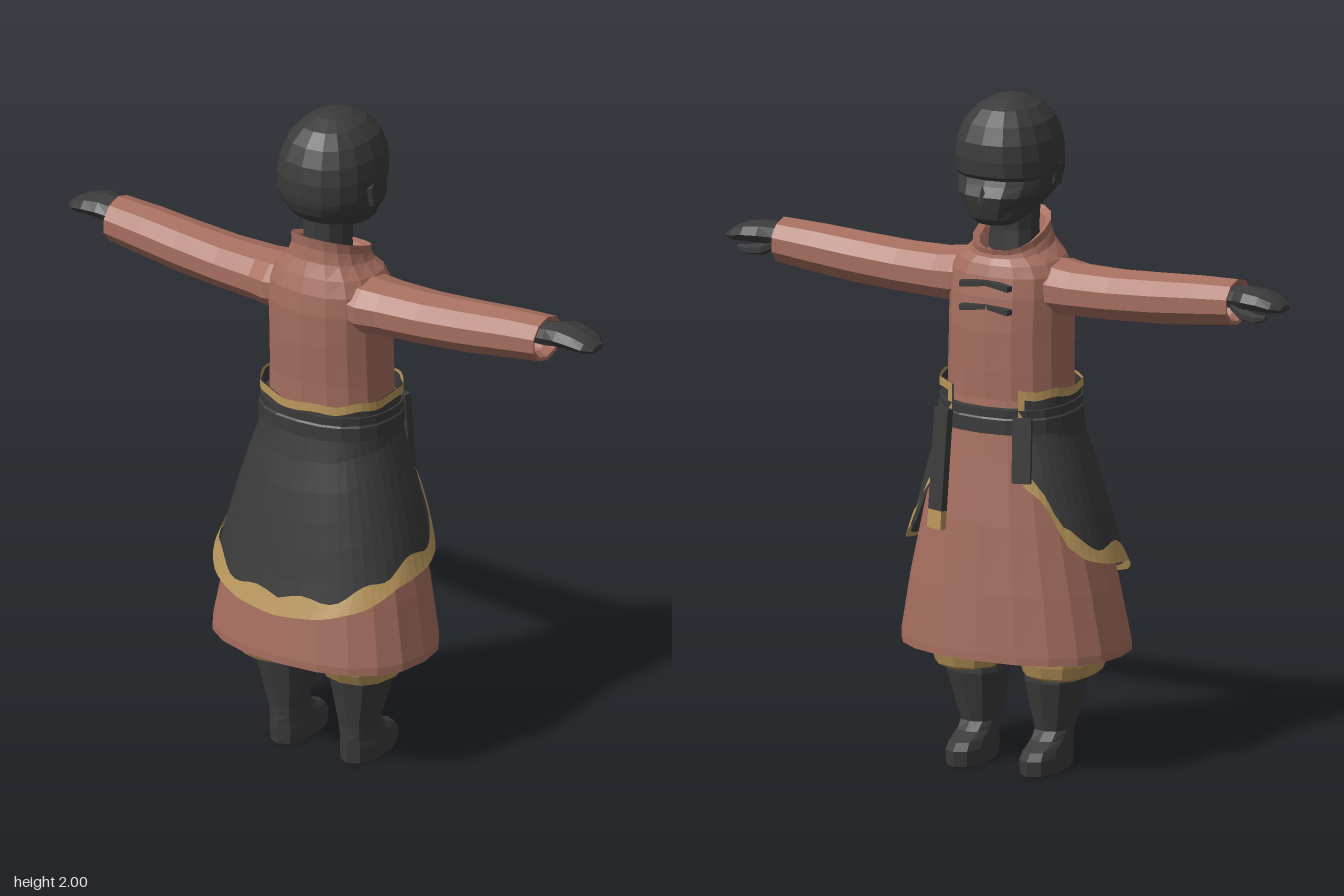
import * as THREE from 'three';

const paint = (name, color) => {
  const m = new THREE.MeshStandardMaterial({ color, flatShading: true, side: THREE.DoubleSide });
  m.name = name;
  return m;
};

// Surface through rows of points; closed rows wrap round, caps fill the ends
function loft(rows, { closed = true, capStart = false, capEnd = false } = {}) {
  const n = rows[0].length, pos = rows.flat(2), idx = [];
  const cols = closed ? n : n - 1;
  for (let r = 0; r < rows.length - 1; r++)
    for (let i = 0; i < cols; i++) {
      const a = r * n + i, b = r * n + (i + 1) % n;
      idx.push(a, b, b + n, a, b + n, a + n);
    }
  const cap = (r, flip) => {
    const c = pos.length / 3;
    for (let k = 0; k < 3; k++) pos.push(rows[r].reduce((s, p) => s + p[k], 0) / n);
    for (let i = 0; i < n; i++) {
      const a = r * n + i, b = r * n + (i + 1) % n;
      flip ? idx.push(c, b, a) : idx.push(c, a, b);
    }
  };
  if (capStart) cap(0, true);
  if (capEnd) cap(rows.length - 1, false);
  const g = new THREE.BufferGeometry();
  g.setAttribute('position', new THREE.Float32BufferAttribute(pos, 3));
  g.setIndex(idx);
  g.computeVertexNormals();
  return g;
}

const soft = (v, p) => Math.sign(v) * Math.abs(v) ** p;
// Point on a horizontal section: angle 0 is +z, a quarter turn is +x
function point(a, y, w, zb, zf, cx = 0, tilt = 0, p = 0.85) {
  const c = soft(Math.cos(a), p);
  return [cx + w * soft(Math.sin(a), p), y + tilt * c, (zb + zf) / 2 + c * (zb - zf) / 2];
}
// Section [y, halfWidth, zBack, zFront, centreX, tilt]
const ring = (s, n) => Array.from({ length: n }, (_, i) => point(i / n * Math.PI * 2, ...s));
// Section across the arm [x, yCentre, yRadius, zCentre, zRadius]
const armRing = ([x, cy, ry, cz, rz], n) => Array.from({ length: n }, (_, i) => {
  const t = i / n * Math.PI * 2;
  return [x, cy + ry * Math.cos(t), cz + rz * Math.sin(t)];
});
const sided = (rows, s) => s > 0 ? rows : rows.map(r => r.map(([x, y, z]) => [-x, y, z])).reverse();

// Piecewise linear lookup in rows whose first entry ascends
function lerpRows(rows, v) {
  let i = 0;
  while (i < rows.length - 2 && v > rows[i + 1][0]) i++;
  const t = THREE.MathUtils.clamp((v - rows[i][0]) / (rows[i + 1][0] - rows[i][0]), 0, 1);
  return rows[i].map((a, k) => a + (rows[i + 1][k] - a) * t);
}

export function createModel() {
  const root = new THREE.Group();
  const coat = paint('russet cloth', 0xa66e5f);
  const dark = paint('charcoal', 0x3b3b3b);
  const tan = paint('tan cloth', 0xb8955a);
  const add = (name, geo, mat) => {
    const m = new THREE.Mesh(geo, mat);
    m.name = name;
    root.add(m);
    return m;
  };
  const stack = (name, rows, n, mat, caps = {}) => add(name, loft(rows.map(s => ring(s, n)), caps), mat);

  // Head, with a brow ledge over the face
  stack('head', [
    [1.635, 0.055, -0.06, -0.175], [1.655, 0.085, -0.01, -0.195], [1.69, 0.108, 0.075, -0.207],
    [1.725, 0.132, 0.11, -0.216], [1.755, 0.142, 0.123, -0.2], [1.772, 0.145, 0.127, -0.193],
    [1.785, 0.147, 0.129, -0.207], [1.83, 0.148, 0.131, -0.212], [1.88, 0.14, 0.122, -0.21],
    [1.93, 0.12, 0.1, -0.19], [1.97, 0.085, 0.062, -0.15], [1.992, 0.045, 0.01, -0.1], [2, 0.01, -0.025, -0.05],
  ], 16, dark, { capStart: true, capEnd: true });
  stack('neck', [[1.54, 0.075, 0.06, -0.09], [1.6, 0.07, 0.055, -0.085], [1.7, 0.075, 0.06, -0.09]], 10, dark);
  add('nose', new THREE.ConeGeometry(0.018, 0.05, 4).translate(0, 1.735, -0.208), dark);

  // Coat body with a standing collar that dips at the throat
  stack('coatBody', [
    [1.1, 0.185, 0.12, -0.19], [1.2, 0.182, 0.122, -0.192], [1.32, 0.18, 0.13, -0.192],
    [1.42, 0.182, 0.132, -0.185], [1.48, 0.178, 0.126, -0.175], [1.52, 0.155, 0.11, -0.165, 0, 0.008],
    [1.55, 0.12, 0.092, -0.15, 0, 0.02], [1.575, 0.108, 0.086, -0.148, 0, 0.035],
    [1.6, 0.106, 0.09, -0.152, 0, 0.045], [1.59, 0.088, 0.072, -0.13, 0, 0.04], [1.545, 0.07, 0.055, -0.1, 0, 0.02],
  ], 16, coat);
  // Coat skirt, open below
  stack('coatSkirt', [
    [0.36, 0.325, 0.225, -0.235], [0.352, 0.345, 0.245, -0.25], [0.375, 0.345, 0.245, -0.25],
    [0.55, 0.312, 0.22, -0.242],
    [0.75, 0.265, 0.185, -0.228], [0.95, 0.215, 0.148, -0.208], [1.12, 0.186, 0.122, -0.192],
  ], 20, coat);
  // Chest clasps, each a slightly arched pair
  for (const y of [1.46, 1.39])
    for (const s of [1, -1]) {
      const bar = add('chestClasp', new THREE.BoxGeometry(0.085, 0.016, 0.022), dark);
      bar.position.set(s * 0.04, y, -0.184);
      bar.rotation.set(0, s * 0.22, -s * 0.08);
    }

  for (const s of [1, -1]) {
    // Sleeve with a turned-in cuff
    const sleeve = [
      [0.08, 1.45, 0.07, -0.01, 0.1], [0.16, 1.437, 0.084, -0.015, 0.11], [0.22, 1.435, 0.079, -0.022, 0.1],
      [0.35, 1.437, 0.077, -0.025, 0.092], [0.5, 1.446, 0.077, -0.03, 0.086], [0.63, 1.458, 0.074, -0.035, 0.082],
      [0.75, 1.468, 0.068, -0.038, 0.077], [0.748, 1.468, 0.058, -0.038, 0.066], [0.72, 1.468, 0.045, -0.038, 0.05],
    ];
    add('sleeve', loft(sided(sleeve.map(r => armRing(r, 10)), s)), coat);
    // Mitten-like hand and thumb
    const hand = [
      [0.71, 1.48, 0.032, -0.04, 0.042], [0.76, 1.485, 0.036, -0.045, 0.05], [0.8, 1.49, 0.034, -0.054, 0.064],
      [0.85, 1.487, 0.03, -0.055, 0.064], [0.89, 1.478, 0.022, -0.055, 0.054], [0.915, 1.472, 0.01, -0.055, 0.03],
    ];
    const thumb = [
      [0.75, 1.465, 0.015, -0.07, 0.018], [0.79, 1.446, 0.018, -0.085, 0.022],
      [0.84, 1.44, 0.014, -0.09, 0.02], [0.87, 1.445, 0.007, -0.09, 0.01],
    ];
    const caps = { capStart: true, capEnd: true };
    add('hand', loft(sided(hand.map(r => armRing(r, 8)), s), caps), dark);
    add('thumb', loft(sided(thumb.map(r => armRing(r, 6)), s), caps), dark);

    // Ear
    const ear = add('ear', new THREE.BoxGeometry(0.014, 0.06, 0.03), dark);
    ear.position.set(s * 0.145, 1.775, -0.025);
    ear.rotation.set(0.2, s * 0.3, 0);

    // Baggy trouser leg and boot
    const c = s * 0.145, b = s * 0.122;
    stack('trouserLeg', [
      [0.275, 0.085, 0.1, -0.1, c], [0.285, 0.105, 0.135, -0.115, c], [0.32, 0.118, 0.155, -0.127, c],
      [0.36, 0.126, 0.165, -0.132, c], [0.45, 0.125, 0.15, -0.13, c], [0.6, 0.11, 0.12, -0.12, c],
    ], 12, tan, caps);
    stack('boot', [
      [0, 0.053, 0.07, -0.16, b], [0.045, 0.056, 0.072, -0.163, b], [0.068, 0.053, 0.072, -0.145, b],
      [0.09, 0.053, 0.07, -0.09, b], [0.115, 0.055, 0.07, -0.062, b], [0.19, 0.074, 0.083, -0.08, s * 0.125],
      [0.265, 0.09, 0.1, -0.1, s * 0.129], [0.3, 0.088, 0.098, -0.098, s * 0.13],
    ], 10, dark, caps);
  }

  // Overskirt wraps the back and sides and parts at the front
  const shape = [
    [0.5, 0.348, 0.25, -0.25], [0.6, 0.326, 0.23, -0.244], [0.75, 0.29, 0.205, -0.238],
    [0.9, 0.247, 0.175, -0.222], [1.03, 0.203, 0.142, -0.205], [1.16, 0.2, 0.135, -0.204],
  ];
  const hem = [[0, 0.51], [20, 0.525], [45, 0.56], [70, 0.615], [95, 0.635], [115, 0.66], [128, 0.71], [138, 0.83], [152, 0.88]];
  const edge = 152, deg = Math.PI / 180;
  const hemAt = a => lerpRows(hem, Math.abs(a))[1];
  const scallop = a => 0.014 * Math.sin(Math.abs(a) * 0.17);
  // Patch of the overskirt between two angles and two height rules
  function panel(a0, a1, cols, rows, bottom, top, out, flare = 0) {
    return loft(Array.from({ length: rows + 1 }, (_, r) => Array.from({ length: cols + 1 }, (_, i) => {
      const a = a0 + (a1 - a0) * i / cols, k = r / rows;
      const y = bottom(a) + (top(a) - bottom(a)) * k;
      const [, w, zb, zf] = lerpRows(shape, y), o = out + flare * (1 - k);
      return point(a * deg, y, w + o, zb + o, zf - o);
    })), { closed: false });
  }
  const topAt = a => 1.14 + 0.012 * Math.sin(Math.min(Math.abs(a), 90) * deg) + 0.004 * Math.sin(a * 0.15);
  add('overskirt', panel(-edge, edge, 38, 7, a => hemAt(a) + 0.015, topAt, 0), dark);
  add('hemTrim', panel(-edge, edge, 60, 1, hemAt, a => hemAt(a) + 0.05 + scallop(a), 0.006, 0.007), tan);
  add('waistTrim', panel(-edge, edge, 38, 1, a => topAt(a) - 0.022, a => topAt(a) + 0.004, 0.007), tan);
  for (const s of [1, -1]) {
    const [a, b] = s > 0 ? [edge - 6, edge] : [-edge, -edge + 6];
    add('frontEdgeTrim', panel(a, b, 1, 6, hemAt, () => 1.14, 0.006), tan);
  }

  // Belt band with a ridge, and its two hanging ends
  stack('belt', [
    [1.03, 0.195, 0.13, -0.2, 0, 0.008], [1.032, 0.212, 0.149, -0.216, 0, 0.008], [1.075, 0.212, 0.149, -0.216, 0, 0.008],
    [1.08, 0.207, 0.144, -0.212, 0, 0.008], [1.105, 0.208, 0.145, -0.213, 0, 0.008], [1.107, 0.19, 0.125, -0.195, 0, 0.008],
  ], 20, dark);
  const tail = (x, length, tip) => {
    const g = new THREE.Group();
    g.name = 'beltTail';
    const piece = (name, h, y, mat) => {
      const m = new THREE.Mesh(new THREE.BoxGeometry(0.055, h, 0.022), mat);
      m.name = name;
      m.position.y = y;
      g.add(m);
    };
    piece('strap', length, -length / 2, dark);
    if (tip) piece('strapTip', tip, -length - tip / 2, tan);
    g.position.set(x, 1.08, -0.203);
    g.rotation.set(0.085, -Math.sign(x) * 0.3, 0, 'YXZ');
    root.add(g);
  };
  tail(0.13, 0.3, 0.055);
  tail(-0.13, 0.19, 0);
  return root;
}
